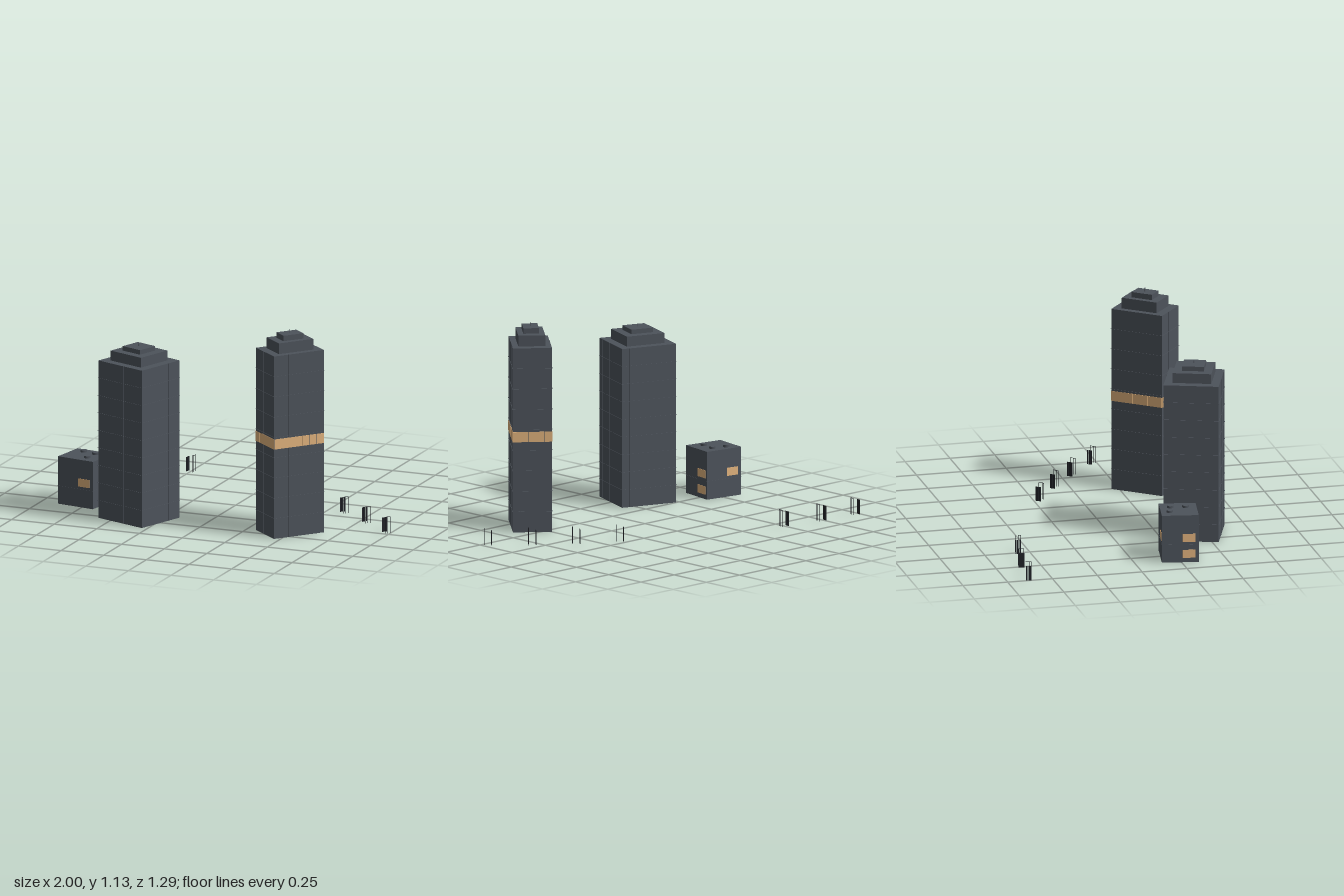
import * as THREE from 'three';

const material = (name, color) => {
  const m = new THREE.MeshStandardMaterial({ color });
  m.name = name;
  return m;
};

export function createModel() {
  const wall = material('slateWall', 0x4d535b);
  const trim = material('darkMetal', 0x222429);
  const lit = material('litWindow', 0xe2b47e);
  const model = new THREE.Group();
  model.name = 'cityBlock';

  // Box centred on x and z, standing on height y
  const box = (parent, name, mat, w, h, d, x, y, z) => {
    const mesh = new THREE.Mesh(new THREE.BoxGeometry(w, h, d), mat);
    mesh.name = name;
    mesh.position.set(x, y + h / 2, z);
    parent.add(mesh);
  };

  const group = (name, x, z, angle) => {
    const g = new THREE.Group();
    g.name = name;
    g.position.set(x, 0, z);
    g.rotation.y = angle;
    model.add(g);
    return g;
  };

  // The four walls of a w by d block, each as a group facing +z
  const sides = (parent, w, d) => [0, 1, 2, 3].map((i) => {
    const side = new THREE.Group();
    side.name = 'facade';
    const a = (i * Math.PI) / 2;
    const out = i % 2 ? w / 2 : d / 2;
    side.rotation.y = a;
    side.position.set(Math.sin(a) * out, 0, Math.cos(a) * out);
    parent.add(side);
    return { side, width: i % 2 ? d : w, index: i };
  });

  function tower({ name, x, z, angle, w, d, h, tiers, mast, floors, band }) {
    const g = group(name, x, z, angle);
    box(g, 'shaft', wall, w, h, d, 0, 0, 0);

    // Stepped crown and mast
    let y = h;
    for (const [scale, top] of tiers) {
      box(g, 'crownTier', wall, w * scale, top - y, d * scale, 0, y, 0);
      y = top;
    }
    box(g, 'mast', wall, 0.003, mast - y, 0.003, 0, y, 0);

    // Floor ledges
    for (let i = 1; i < floors; i++) {
      box(g, 'floorLedge', wall, w + 0.005, 0.001, d + 0.005, 0, (h * i) / floors, 0);
    }

    // Window mullions and the lit storey
    for (const { side, width } of sides(g, w, d)) {
      const bays = Math.round(width / 0.043);
      const step = width / bays;
      for (let i = 0; i < bays; i++) {
        const px = -width / 2 + step * (i + 0.5);
        if (i) box(side, 'mullion', wall, 0.0015, h, 0.002, px - step / 2, 0, 0);
        if (band) {
          box(side, 'litPane', lit, step - 0.0015, band[1] - band[0], 0.004, px, band[0], 0);
        }
      }
    }
  }

  tower({
    name: 'wideTower', x: -0.38, z: 0.447, angle: -0.35, w: 0.32, d: 0.3, h: 0.88,
    tiers: [[0.7, 0.935], [0.4, 0.96]], mast: 0.975, floors: 9,
  });
  tower({
    name: 'tallTower', x: 0.482, z: 0.393, angle: -0.69, w: 0.212, d: 0.303, h: 1.02,
    tiers: [[0.69, 1.08], [0.4, 1.11]], mast: 1.13, floors: 9, band: [0.5, 0.556],
  });

  // Small house with lit windows and roof vents
  const house = group('smallHouse', -0.772, 0.262, -0.17);
  const hw = 0.224, hd = 0.2, hh = 0.265;
  box(house, 'houseBody', wall, hw, hh, hd, 0, 0, 0);
  box(house, 'houseFloorLedge', wall, hw + 0.003, 0.001, hd + 0.003, 0, 0.1, 0);
  for (const { side, width, index } of sides(house, hw, hd)) {
    const rows = index % 2 ? [0.025, 0.115] : [0.115];
    for (const y of rows) box(side, 'houseWindow', lit, 0.07, 0.045, 0.004, width * 0.24, y, 0);
  }
  for (const [x, z] of [[-0.045, -0.053], [0.038, -0.043], [0.038, 0.04]]) {
    const vent = new THREE.Mesh(new THREE.CylinderGeometry(0.018, 0.018, 0.012, 12), wall);
    vent.name = 'roofVent';
    vent.position.set(x, hh + 0.006, z);
    house.add(vent);
  }

  // Street stands: a low slatted board facing a taller open frame
  function stand(x, z, angle) {
    const g = group('streetStand', x, z, angle);
    for (let i = 0; i < 4; i++) {
      box(g, 'boardSlat', trim, 0.002, 0.08, 0.0065, -0.02, 0, (i - 1.5) * 0.0078);
    }
    for (const s of [-1, 0.3, 1]) box(g, 'framePost', trim, 0.002, 0.092, 0.002, 0.02, 0, s * 0.015);
    box(g, 'frameBar', trim, 0.002, 0.002, 0.032, 0.02, 0.091, 0);
  }
  for (const [x, z] of [[0.397, -0.215], [0.6, -0.085], [0.79, 0.06], [0.972, 0.217]]) stand(x, z, -0.69);
  for (const [x, z] of [[-0.976, -0.628], [-0.74, -0.608], [-0.5, -0.565]]) stand(x, z, -0.2);

  return model;
}
